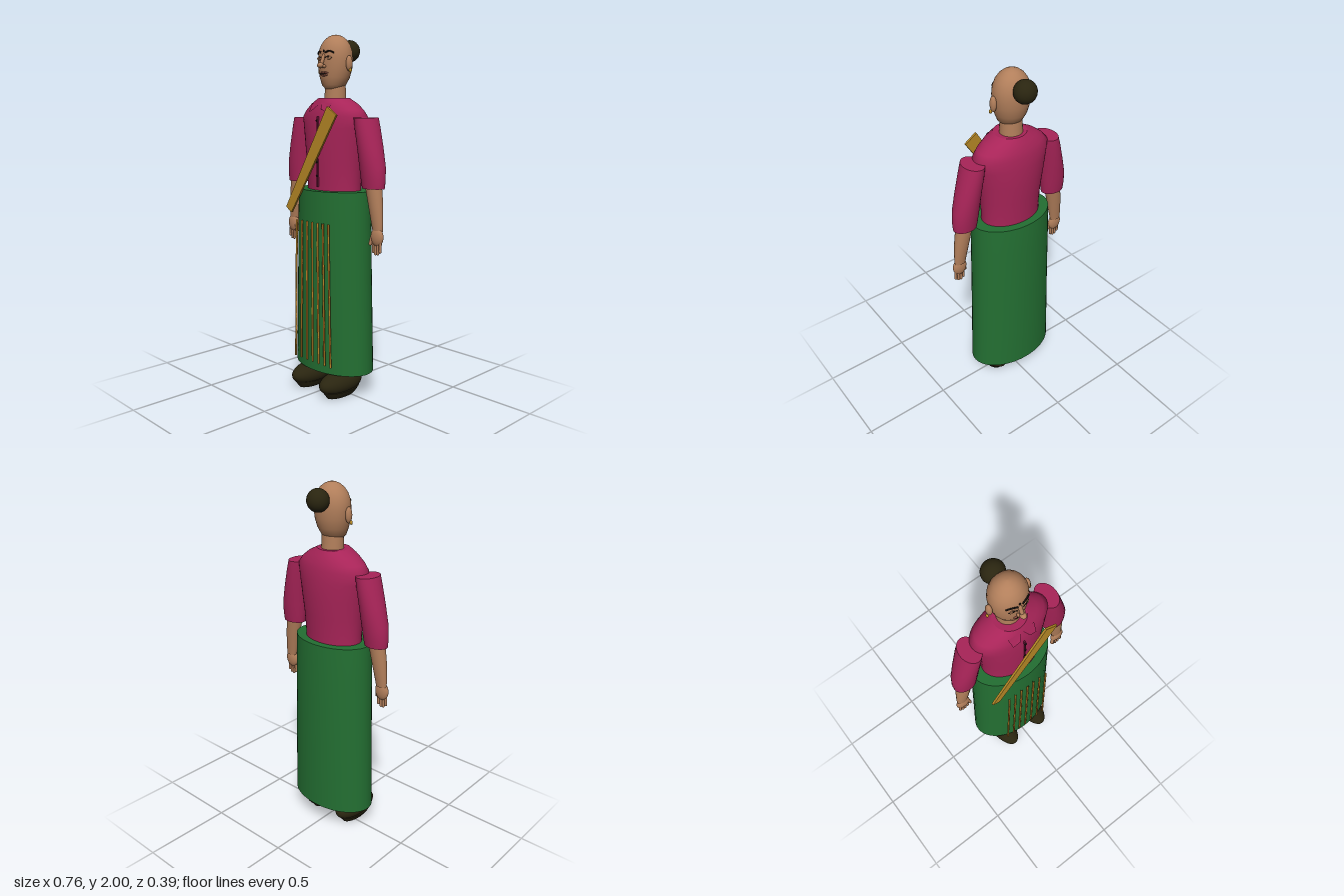
import * as THREE from 'three';

const mat = (name, color, side = THREE.FrontSide) => {
  const m = new THREE.MeshStandardMaterial({ color, side });
  m.name = name;
  return m;
};

// Stacked elliptical rings, bottom to top: [y, rx, rz, cx, cz], closed by flat caps
function loft(rings, seg = 40) {
  const pos = [], idx = [];
  const addRing = ([y, rx, rz, cx = 0, cz = 0]) => {
    const start = pos.length / 3;
    for (let i = 0; i < seg; i++) {
      const a = (i / seg) * Math.PI * 2;
      pos.push(cx + rx * Math.cos(a), y, cz + rz * Math.sin(a));
    }
    return start;
  };
  const starts = rings.map(addRing);
  for (let r = 0; r < rings.length - 1; r++) {
    for (let i = 0; i < seg; i++) {
      const j = (i + 1) % seg;
      const a = starts[r] + i, b = starts[r] + j, c = starts[r + 1] + i, d = starts[r + 1] + j;
      idx.push(a, c, b, b, c, d);
    }
  }
  for (const [ring, top] of [[rings[0], false], [rings[rings.length - 1], true]]) {
    const s = addRing(ring), mid = pos.length / 3;
    pos.push(ring[3] || 0, ring[0], ring[4] || 0);
    for (let i = 0; i < seg; i++) {
      const j = (i + 1) % seg;
      if (top) idx.push(mid, s + j, s + i);
      else idx.push(mid, s + i, s + j);
    }
  }
  const g = new THREE.BufferGeometry();
  g.setAttribute('position', new THREE.Float32BufferAttribute(pos, 3));
  g.setIndex(idx);
  g.computeVertexNormals();
  return g;
}

const ball = (x, y, z, rx, ry, rz, seg = 24) =>
  new THREE.SphereGeometry(1, seg, Math.round(seg * 0.7)).scale(rx, ry, rz).translate(x, y, z);

const tube = (points, r, seg = 10) =>
  new THREE.TubeGeometry(new THREE.CatmullRomCurve3(points.map(p => new THREE.Vector3(...p))), seg, r, 6);

// Rounded finger between two points
function capsule(a, b, r) {
  const A = new THREE.Vector3(...a), d = new THREE.Vector3(...b).sub(A);
  const g = new THREE.CapsuleGeometry(r, d.length(), 4, 10);
  g.applyQuaternion(new THREE.Quaternion().setFromUnitVectors(new THREE.Vector3(0, 1, 0), d.clone().normalize()));
  const c = A.addScaledVector(d, 0.5);
  return g.translate(c.x, c.y, c.z);
}

export function createModel() {
  const model = new THREE.Group();
  model.name = 'standingFigure';
  const skin = mat('skin', 0xb27f5b);
  const blouse = mat('blouse', 0xa82458);
  const green = mat('skirtGreen', 0x236f32);
  const gold = mat('gold', 0xb88a26, THREE.DoubleSide);
  const pleatGold = mat('pleatGold', 0xc08428);
  const dark = mat('hairAndShoes', 0x2a2510);
  const black = mat('black', 0x14100e);
  const placketRed = mat('placket', 0x6a1838);
  const lip = mat('lips', 0x8a5040);
  const collarMat = mat('collar', 0xa02254, THREE.DoubleSide);
  const add = (name, geo, material, parent = model) => {
    const m = new THREE.Mesh(geo, material);
    m.name = name;
    parent.add(m);
    return m;
  };

  // Skirt and its front pleats
  add('skirt', loft([
    [0.14, 0.265, 0.168, 0, -0.021], [0.4, 0.256, 0.169, 0, -0.021], [0.7, 0.247, 0.168, 0, -0.02],
    [1.0, 0.24, 0.167, 0, -0.02], [1.16, 0.236, 0.162, 0, -0.019],
  ], 48), green);
  for (let i = -3; i <= 3; i++) {
    add('pleat', tube([[i * 0.048, 0.19, 0.149], [i * 0.045, 0.6, 0.149], [i * 0.0425, 0.99, 0.149]], 0.006), pleatGold);
  }

  // Blouse body
  add('blouseBody', loft([
    [1.14, 0.175, 0.12, 0, -0.02], [1.2, 0.174, 0.121, 0, -0.02], [1.3, 0.181, 0.126, 0, -0.021],
    [1.4, 0.195, 0.13, 0, -0.023], [1.5, 0.212, 0.129, 0, -0.024], [1.56, 0.224, 0.122, 0, -0.023],
    [1.595, 0.195, 0.115, 0, -0.022], [1.63, 0.15, 0.102, 0, -0.02], [1.66, 0.088, 0.086, 0, -0.018],
  ], 48), blouse);

  // Front placket with buttons
  add('placket', new THREE.BoxGeometry(0.007, 0.38, 0.012).translate(0, 1.37, 0.106), placketRed);
  for (let i = 0; i < 5; i++) add('button', ball(0, 1.24 + i * 0.075, 0.113, 0.006, 0.006, 0.005, 10), black);

  // Shoulder sash, a thin tapered strip
  const strip = new THREE.Shape([[0.105, 1.615], [-0.233, 1.05], [-0.188, 1.022], [0.175, 1.57]]
    .map(p => new THREE.Vector2(...p)));
  add('sash', new THREE.ExtrudeGeometry(strip, { depth: 0.012, bevelEnabled: false }).translate(0, 0, 0.126), gold);

  // Neck
  add('neck', loft([[1.64, 0.062, 0.06, 0, -0.027], [1.7, 0.06, 0.056, 0, -0.027], [1.75, 0.058, 0.054, 0, -0.027]], 28), skin);

  // Head
  const headRings = [
    [1.704, 0.02, 0.02, 0, -0.01], [1.71, 0.045, 0.044, 0, -0.012], [1.73, 0.066, 0.064, 0, -0.017],
    [1.77, 0.084, 0.08, 0, -0.023], [1.82, 0.097, 0.088, 0, -0.027], [1.87, 0.1, 0.091, 0, -0.028],
    [1.91, 0.096, 0.088, 0, -0.028], [1.945, 0.083, 0.077, 0, -0.029], [1.972, 0.063, 0.06, 0, -0.03],
    [1.99, 0.039, 0.037, 0, -0.03], [1.998, 0.018, 0.017, 0, -0.03], [2.0, 0.002, 0.002, 0, -0.03],
  ];
  add('head', loft(headRings), skin);
  // Depth of the face surface at x, y
  const faceZ = (x, y) => {
    const k = headRings.findIndex(r => r[0] > y), a = headRings[k - 1], b = headRings[k];
    const t = (y - a[0]) / (b[0] - a[0]), mix = n => a[n] + (b[n] - a[n]) * t;
    return mix(4) + mix(2) * Math.sqrt(Math.max(0, 1 - (x / mix(1)) ** 2));
  };
  const onFace = (pts, out = 0.002) => pts.map(([x, y]) => [x, y, faceZ(x, y) + out]);

  add('hairBun', ball(0, 1.918, -0.136, 0.06, 0.06, 0.057, 32), dark);
  add('foreheadDot', ball(0, 1.91, faceZ(0, 1.91), 0.006, 0.006, 0.004, 12), black);
  add('noseBridge', capsule([0, 1.885, 0.06], [0, 1.84, 0.078], 0.01), skin);
  add('noseTip', ball(0, 1.832, 0.085, 0.016, 0.015, 0.019), skin);
  add('upperLip', tube(onFace([[-0.03, 1.789], [-0.012, 1.797], [0, 1.794], [0.012, 1.797], [0.03, 1.789]]), 0.005), lip);
  add('lowerLip', tube(onFace([[-0.026, 1.786], [0, 1.779], [0.026, 1.786]]), 0.005), lip);
  add('mouthLine', tube(onFace([[-0.03, 1.789], [0, 1.788], [0.03, 1.789]], 0.006), 0.002), black);

  for (const s of [1, -1]) {
    // Face details
    add('eyebrow', tube(onFace([[s * 0.014, 1.9], [s * 0.04, 1.908], [s * 0.064, 1.897]], 0.004), 0.0045), black);
    add('eyelid', ball(s * 0.036, 1.872, faceZ(0.036, 1.872), 0.019, 0.01, 0.006, 16), skin);
    add('eyeLine', tube(onFace([[s * 0.016, 1.872], [s * 0.036, 1.881], [s * 0.057, 1.871]], 0.006), 0.0018), black);
    add('pupil', ball(s * 0.036, 1.873, faceZ(0.036, 1.873) + 0.004, 0.005, 0.005, 0.004, 10), black);
    add('nostril', ball(s * 0.014, 1.828, 0.07, 0.009, 0.009, 0.011, 12), skin);

    // Ears and earrings
    add('ear', ball(s * 0.108, 1.843, -0.026, 0.016, 0.042, 0.02, 18), skin);
    add('earring', ball(s * 0.121, 1.806, -0.022, 0.008, 0.011, 0.008, 12), gold);

    // Collar flap
    const flap = new THREE.BufferGeometry();
    flap.setAttribute('position', new THREE.Float32BufferAttribute([
      s * 0.004, 1.635, 0.08, s * 0.078, 1.63, 0.074, s * 0.07, 1.585, 0.105, s * 0.03, 1.6, 0.108,
    ], 3));
    flap.setIndex(s > 0 ? [0, 2, 1, 0, 3, 2] : [0, 1, 2, 0, 2, 3]);
    flap.computeVertexNormals();
    add('collarFlap', flap, collarMat);

    // Arm
    const arm = new THREE.Group();
    arm.name = s > 0 ? 'leftArm' : 'rightArm';
    model.add(arm);
    add('sleeve', loft([
      [1.185, 0.068, 0.05, s * 0.297, -0.02], [1.23, 0.073, 0.056, s * 0.295, -0.021],
      [1.3, 0.075, 0.064, s * 0.288, -0.022], [1.4, 0.068, 0.072, s * 0.27, -0.023],
      [1.5, 0.061, 0.077, s * 0.249, -0.024], [1.556, 0.055, 0.077, s * 0.238, -0.024],
    ]), blouse, arm);
    add('forearm', loft([
      [0.96, 0.032, 0.02, s * 0.336, -0.015], [1.0, 0.037, 0.024, s * 0.332, -0.015],
      [1.1, 0.044, 0.035, s * 0.318, -0.017], [1.2, 0.048, 0.042, s * 0.3, -0.018],
    ], 24), skin, arm);
    add('palm', ball(s * 0.337, 0.93, -0.01, 0.042, 0.052, 0.021), skin, arm);
    for (let i = 0; i < 4; i++) {
      const x = 0.313 + i * 0.0165, tip = [0.848, 0.838, 0.84, 0.853][i];
      add('finger', capsule([s * x, 0.91, -0.008], [s * (x + 0.001), tip, -0.006], 0.008), skin, arm);
    }
    add('thumb', capsule([s * 0.311, 0.945, -0.006], [s * 0.298, 0.89, 0], 0.01), skin, arm);

    // Shoe, ankle and sole
    add('shoe', ball(s * 0.115, 0.075, 0.04, 0.074, 0.067, 0.154, 28), dark);
    add('ankle', loft([[0.07, 0.062, 0.064, s * 0.115, -0.023], [0.2, 0.058, 0.06, s * 0.115, -0.023]], 24), dark);
    add('sole', loft([[0, 0.045, 0.1, s * 0.117, 0.04], [0.02, 0.06, 0.115, s * 0.117, 0.04],
      [0.04, 0.07, 0.13, s * 0.117, 0.04]], 28), dark);
  }
  return model;
}
